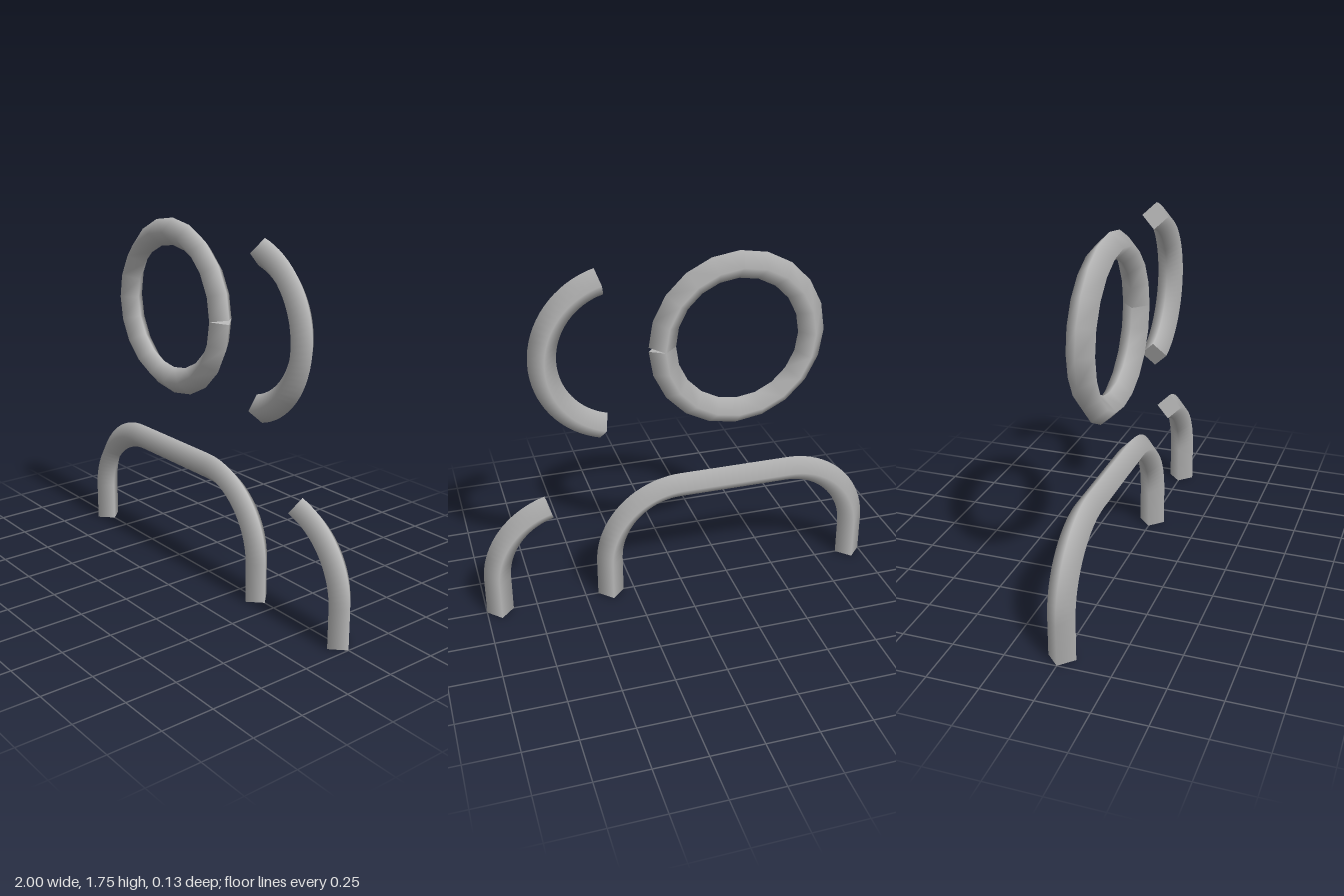
import * as THREE from 'three';

const R = 0.066;     // half width of the diamond bar
const BEND = 0.37;   // centre-line bend radius

// Points along an arc in the xy plane, angles in degrees
function arc(cx, cy, from, to, steps) {
  return Array.from({ length: steps + 1 }, (_, i) => {
    const a = THREE.MathUtils.degToRad(from + (to - from) * i / steps);
    return new THREE.Vector2(cx + BEND * Math.cos(a), cy + BEND * Math.sin(a));
  });
}

// Sweep a smooth-shaded diamond section along planar points, with flat end caps
function diamondBar(points) {
  const pos = [], nor = [], idx = [];
  const last = points.length - 1;
  const rings = points.map((p, i) => {
    const din = points[Math.max(i, 1)].clone().sub(points[Math.max(i, 1) - 1]).normalize();
    const j = Math.min(i, last - 1);
    const dout = points[j + 1].clone().sub(points[j]).normalize();
    const t = din.add(dout).normalize();
    const side = new THREE.Vector3(t.y, -t.x, 0);
    const front = new THREE.Vector3(0, 0, 1);
    const dirs = [side, front, side.clone().negate(), front.clone().negate()];
    const c = new THREE.Vector3(p.x, p.y, 0);
    return { t, dirs, corners: dirs.map(d => c.clone().addScaledVector(d, R)) };
  });
  rings.forEach(({ dirs, corners }, i) => {
    corners.forEach((v, k) => {
      pos.push(v.x, v.y, v.z);
      nor.push(dirs[k].x, dirs[k].y, dirs[k].z);
      if (i < last) {
        const a = i * 4 + k, b = i * 4 + (k + 1) % 4;
        idx.push(a, a + 4, b, b, a + 4, b + 4);
      }
    });
  });
  // The side, front, back order turns clockwise about the travel direction
  for (const [ring, sign] of [[rings[0], -1], [rings[last], 1]]) {
    const base = pos.length / 3;
    for (const v of ring.corners) {
      pos.push(v.x, v.y, v.z);
      nor.push(sign * ring.t.x, sign * ring.t.y, 0);
    }
    if (sign < 0) idx.push(base, base + 1, base + 2, base, base + 2, base + 3);
    else idx.push(base, base + 2, base + 1, base, base + 3, base + 2);
  }
  const geo = new THREE.BufferGeometry();
  geo.setAttribute('position', new THREE.Float32BufferAttribute(pos, 3));
  geo.setAttribute('normal', new THREE.Float32BufferAttribute(nor, 3));
  geo.setIndex(idx);
  return geo;
}

export function createModel() {
  const group = new THREE.Group();
  const steel = new THREE.MeshStandardMaterial({ color: 0xb8b8b8, side: THREE.DoubleSide });
  steel.name = 'grey steel';
  const P = (x, y) => new THREE.Vector2(x, y);

  const paths = {
    // Full circle of straight segments, leaving a small notch where its ends meet
    splitRing: arc(-0.282, 1.311, 0, 360, 20),
    // Open curved bar beside the ring
    curvedBar: arc(0.281, 1.311, -75, 75, 32),
    // Wide handle with two legs and a flat top
    archHandle: [P(0.37, 0), ...arc(0, 0.194, 0, 90, 20), ...arc(-0.564, 0.194, 90, 180, 20), P(-0.934, 0)],
    // Single leg ending in a partial bend
    hookBar: [P(0.934, 0), ...arc(0.564, 0.194, 0, 75, 18)],
  };
  for (const [name, points] of Object.entries(paths)) {
    const mesh = new THREE.Mesh(diamondBar(points), steel);
    mesh.name = name;
    group.add(mesh);
  }
  return group;
}
